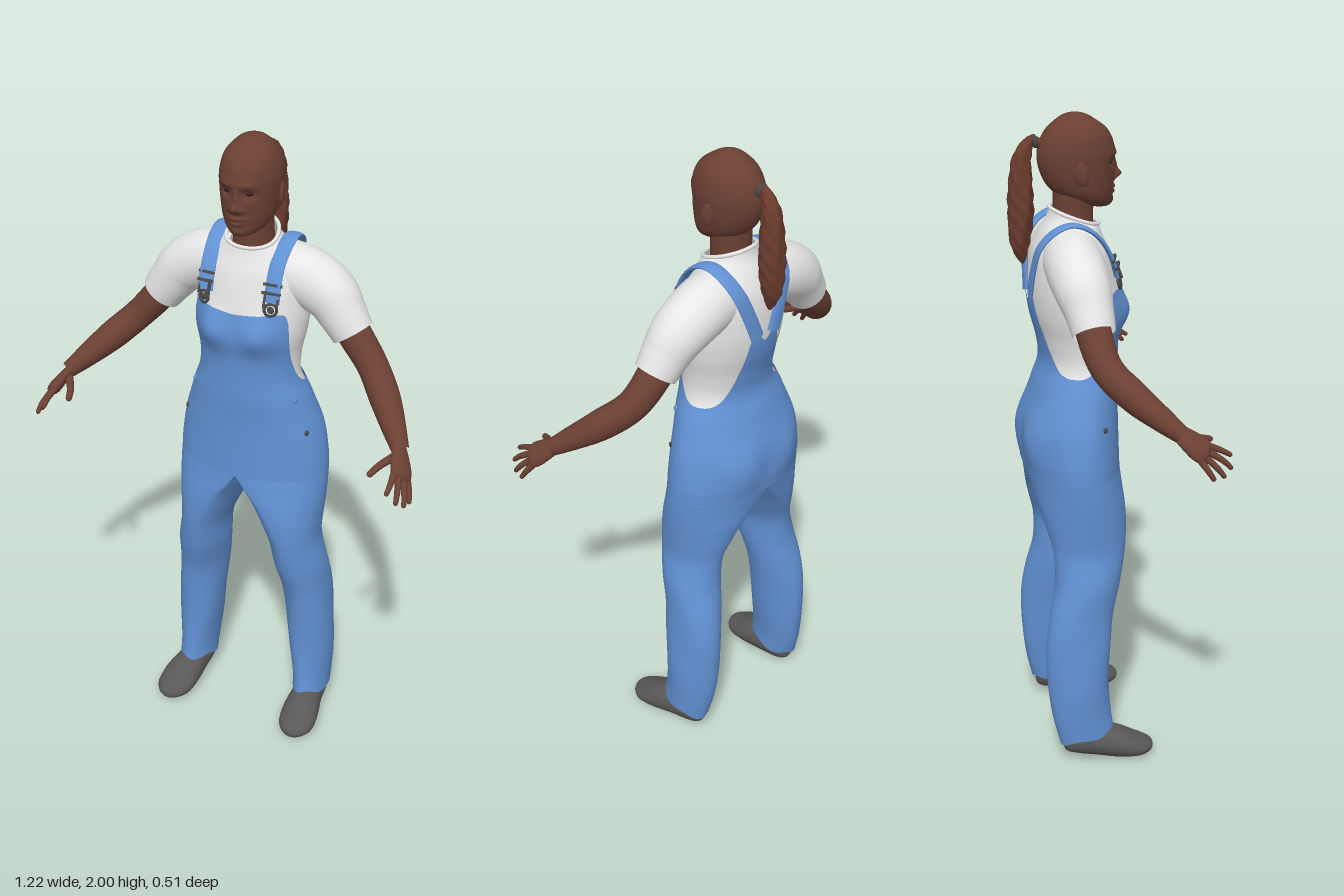
import * as THREE from 'three';

const mat = (name, color, double) => {
  const m = new THREE.MeshStandardMaterial({ color });
  m.name = name;
  if (double) m.side = THREE.DoubleSide;
  return m;
};
const V = (a) => new THREE.Vector3(...a);

// Smooth interpolation of rows [key, ...values], keys ascending
function interp(rows, k) {
  const n = rows.length;
  k = Math.min(Math.max(k, rows[0][0]), rows[n - 1][0]);
  let i = 0;
  while (i < n - 2 && k > rows[i + 1][0]) i++;
  const a = rows[i], b = rows[i + 1], h = b[0] - a[0], t = (k - a[0]) / h;
  const p = rows[Math.max(i - 1, 0)], q = rows[Math.min(i + 2, n - 1)];
  return a.slice(1).map((_, c) => {
    c++;
    const ma = (b[c] - p[c]) / (b[0] - p[0]) * h, mb = (q[c] - a[c]) / (q[0] - a[0]) * h;
    const t2 = t * t, t3 = t2 * t;
    return a[c] * (2 * t3 - 3 * t2 + 1) + ma * (t3 - 2 * t2 + t) + b[c] * (3 * t2 - 2 * t3) + mb * (t3 - t2);
  });
}

// Closed skin: fn(angle, v) gives [x, y, z]; side -1 mirrors it
function surface(nu, nv, fn, side = 1) {
  const pos = [], idx = [];
  for (let j = 0; j <= nv; j++) for (let i = 0; i < nu; i++) {
    const p = fn(i / nu * Math.PI * 2, j / nv);
    pos.push(p[0] * side, p[1], p[2]);
  }
  for (let j = 0; j < nv; j++) for (let i = 0; i < nu; i++) {
    const a = j * nu + i, b = j * nu + (i + 1) % nu, c = b + nu, d = a + nu;
    if (side > 0) idx.push(a, b, c, a, c, d); else idx.push(a, c, b, a, d, c);
  }
  const g = new THREE.BufferGeometry();
  g.setAttribute('position', new THREE.Float32BufferAttribute(pos, 3));
  g.setIndex(idx);
  g.computeVertexNormals();
  return g;
}

// Tapered tube along points [x, y, z, radius]; ref is its width direction
function taper(pts, ref, { side = 1, flat = 1, cap = 0, nu = 20, nv = 24, ripple = () => 1 } = {}) {
  const curve = new THREE.CatmullRomCurve3(pts.map((p) => V(p.slice(0, 3))));
  const rad = pts.map((p, i) => [i / (pts.length - 1), p[3]]);
  return surface(nu, nv, (a, v) => {
    const T = curve.getTangent(v), c = curve.getPoint(v);
    const A = V(ref).addScaledVector(T, -T.dot(V(ref))).normalize(), B = T.clone().cross(A);
    let r = interp(rad, v)[0] * ripple(a, v);
    if (cap && v > 1 - cap) r *= Math.sqrt(Math.max(0, 1 - ((v - 1 + cap) / cap) ** 2));
    return c.addScaledVector(A, r * Math.cos(a)).addScaledVector(B, r * flat * Math.sin(a)).toArray();
  }, side);
}

const bump = (x, y, [bx, by, sx, sy, amp]) => amp * Math.exp(-(((x - bx) / sx) ** 2) - ((y - by) / sy) ** 2);

// Torso sections: y, half width, front z, back z
const TORSO = [
  [0.94, 0.244, 0.064, -0.225], [1.0, 0.24, 0.062, -0.228], [1.1, 0.222, 0.06, -0.222], [1.2, 0.185, 0.06, -0.19],
  [1.27, 0.156, 0.056, -0.165], [1.34, 0.155, 0.058, -0.172], [1.42, 0.17, 0.07, -0.192], [1.5, 0.175, 0.06, -0.2],
  [1.6, 0.165, 0.035, -0.192], [1.66, 0.12, 0.012, -0.168], [1.7, 0.078, 0.002, -0.145], [1.735, 0.066, -0.005, -0.136],
];
function body(a, y, off = 0) {
  const [w, zf, zb] = interp(TORSO, y), s = Math.sin(a), c = Math.cos(a);
  const x = (w + off) * s, ax = Math.abs(x);
  let z = (zf + zb) / 2 + ((zf - zb) / 2 + off) * c;
  if (c > 0) z += c * bump(ax, y, [0.08, 1.43, 0.05, 0.055, 0.024]);
  else z += c * bump(ax, y, [0.1, 1.04, 0.07, 0.08, 0.018]);
  return [x, y, z];
}
const bodyAt = (x, y, front, off) => {
  const a = Math.asin(Math.min(1, x / interp(TORSO, y)[0]));
  return [x, y, body(front ? a : Math.PI - a, y)[2] + (front ? off : -off)];
};

// Upper edge of the overalls: angle from the front, y
const BIB = [[0, 1.495], [0.4, 1.5], [0.85, 1.5], [0.95, 1.475], [1.05, 1.4], [1.18, 1.34], [1.5, 1.268], [1.9, 1.25],
  [2.35, 1.265], [2.6, 1.32], [2.75, 1.4], [2.88, 1.49], [Math.PI, 1.46]];
// Trouser leg sections: y, centre x, outer and inner half width, front z, back z
const LEG = [
  [0.07, 0.21, 0.057, 0.055, 0.01, -0.168], [0.15, 0.208, 0.06, 0.058, -0.002, -0.187], [0.25, 0.203, 0.068, 0.067, -0.006, -0.197],
  [0.4, 0.193, 0.073, 0.073, 0, -0.2], [0.5, 0.182, 0.079, 0.077, 0.008, -0.188], [0.6, 0.168, 0.084, 0.08, 0.035, -0.167],
  [0.7, 0.15, 0.082, 0.073, 0.055, -0.167], [0.78, 0.12, 0.116, 0.075, 0.064, -0.187], [0.84, 0.085, 0.156, 0.065, 0.066, -0.202],
  [0.89, 0.04, 0.204, 0.038, 0.065, -0.213], [0.94, 0, 0.244, 0, 0.064, -0.225],
];
// Head sections: y, half width, front z, back z
const HEAD = [
  [1.725, 0.004, 0.025, 0.01], [1.73, 0.03, 0.041, -0.02], [1.745, 0.054, 0.047, -0.075], [1.77, 0.072, 0.049, -0.12],
  [1.8, 0.081, 0.052, -0.148], [1.85, 0.088, 0.055, -0.168], [1.9, 0.089, 0.055, -0.169], [1.95, 0.075, 0.034, -0.147],
  [1.985, 0.043, -0.012, -0.108], [1.996, 0.022, -0.036, -0.085], [2, 0.001, -0.058, -0.062],
];
// Face relief: x, y, spread x, spread y, depth
const FACE = [[0, 1.817, 0.013, 0.013, 0.021], [0, 1.84, 0.008, 0.025, 0.01], [0.017, 1.812, 0.009, 0.009, 0.007],
  [0.034, 1.858, 0.018, 0.013, -0.011], [0.03, 1.885, 0.025, 0.01, 0.005], [0, 1.784, 0.024, 0.006, 0.009],
  [0, 1.769, 0.02, 0.006, 0.009], [0, 1.745, 0.02, 0.012, 0.006]];
// Shoe sections: z, centre x, half width, bottom y, top y
const SHOE = [[-0.157, 0.21, 0.002, 0.06, 0.08], [-0.15, 0.21, 0.026, 0.038, 0.1], [-0.12, 0.21, 0.044, 0.025, 0.12],
  [-0.05, 0.214, 0.05, 0.01, 0.115], [0.02, 0.221, 0.06, 0, 0.1], [0.08, 0.226, 0.058, 0.002, 0.068],
  [0.115, 0.227, 0.038, 0.01, 0.052], [0.128, 0.227, 0.018, 0.018, 0.042], [0.132, 0.227, 0.001, 0.029, 0.031]];

export function createModel() {
  const root = new THREE.Group();
  root.name = 'womanInOveralls';
  const skin = mat('skin', 0x6b4033), hair = mat('hair', 0x6a3b2c), denim = mat('denim', 0x6292d4, true);
  const cotton = mat('cotton', 0xe6e6e6, true), leather = mat('shoeGrey', 0x5a5856);
  const metal = mat('metal', 0x4a4a4c), dark = mat('eyeDark', 0x2b1a15);
  const add = (name, geo, m, p, r) => {
    const o = new THREE.Mesh(geo, m);
    o.name = name;
    if (p) o.position.set(...p);
    if (r) o.rotation.set(...r);
    root.add(o);
    return o;
  };

  // Head and neck
  const face = (a, y) => {
    const [w, zf, zb] = interp(HEAD, y), x = w * Math.sin(a), c = Math.cos(a);
    let z = (zf + zb) / 2 + (zf - zb) / 2 * c;
    if (c > 0) for (const f of FACE) z += bump(Math.abs(x), y, f) * Math.min(1, c * 2);
    return [x, y, z];
  };
  add('head', surface(120, 90, (a, v) => face(a, 1.725 + 0.275 * (1 - Math.cos(Math.PI * v)) / 2)), skin);
  add('neck', taper([[0, 1.64, -0.075, 0.07], [0, 1.7, -0.068, 0.06], [0, 1.76, -0.066, 0.06], [0, 1.82, -0.065, 0.062]], [1, 0, 0]), skin);

  // Ponytail with its band
  add('ponytail', taper([[0, 1.91, -0.155, 0.014], [0, 1.925, -0.187, 0.014], [0, 1.88, -0.213, 0.026], [0, 1.79, -0.22, 0.035],
    [0, 1.71, -0.222, 0.037], [0, 1.63, -0.225, 0.028], [0, 1.565, -0.217, 0.006]], [1, 0, 0],
  { cap: 0.04, nu: 40, nv: 80, ripple: (a, v) => 1 + 0.1 * Math.min(1, v * 3) * Math.sin(5 * a + 24 * v) * Math.cos(34 * v) }), hair);
  add('hairBand', new THREE.TorusGeometry(0.014, 0.007, 10, 20), metal, [0, 1.922, -0.178], [-0.2, 0, 0]);

  // Shirt body and collar
  const collarY = (a) => 1.705 - 0.025 * Math.cos(a);
  add('shirtBody', surface(96, 50, (a, v) => body(a, 1.23 + (collarY(a) - 1.23) * v)), cotton);
  const ring = [];
  for (let i = 0; i < 32; i++) ring.push(V(body(i / 16 * Math.PI, collarY(i / 16 * Math.PI))));
  add('collar', new THREE.TubeGeometry(new THREE.CatmullRomCurve3(ring, true), 64, 0.006, 8, true), cotton);

  // Overalls body with bib and back panel
  const lift = (y) => 0.007 * THREE.MathUtils.smoothstep(y, 1.12, 1.28);
  add('overallsBody', surface(144, 60, (a, v) => {
    const y = 0.94 + (interp(BIB, a > Math.PI ? 2 * Math.PI - a : a)[0] - 0.94) * v;
    return body(a, y, lift(y));
  }), denim);

  for (const s of [1, -1]) {
    const side = s > 0 ? 'left' : 'right';
    const at = (p) => [p[0] * s, p[1], p[2]];

    // Trouser leg with soft folds and a hem that dips at the back
    add(side + 'TrouserLeg', surface(64, 80, (a, v) => {
      const hem = 0.088 + 0.018 * Math.cos(a) + 0.006 * Math.sin(4 * a);
      const y = hem + (0.94 - hem) * v, [cx, out, inn, zf, zb] = interp(LEG, y), sn = Math.sin(a);
      const k = 1 + 0.025 * Math.sin(3 * a + 14 * y) * (1 - THREE.MathUtils.smoothstep(y, 0.5, 0.75));
      return [cx + sn * (sn > 0 ? out : inn) * k, y, (zf + zb) / 2 + (zf - zb) / 2 * Math.cos(a) * k];
    }, s), denim);

    // Shoe
    add(side + 'Shoe', surface(32, 48, (a, v) => {
      const z = -0.157 + 0.289 * (1 - Math.cos(Math.PI * v)) / 2, [cx, w, b, t] = interp(SHOE, z);
      return [cx + w * Math.cos(a), (b + t) / 2 + (t - b) / 2 * Math.sin(a), z];
    }, s), leather);

    // Sleeve and arm
    add(side + 'Sleeve', taper([[0.05, 1.6, -0.088, 0.085], [0.16, 1.578, -0.095, 0.086], [0.235, 1.538, -0.092, 0.08],
      [0.275, 1.49, -0.085, 0.07], [0.312, 1.438, -0.08, 0.062]], [0, 0, 1], { side: s, nu: 32, flat: 1.03 }), cotton);
    add(side + 'Arm', taper([[0.25, 1.525, -0.085, 0.052], [0.32, 1.43, -0.08, 0.05], [0.385, 1.355, -0.06, 0.046],
      [0.45, 1.292, 0, 0.045], [0.51, 1.236, 0.07, 0.034], [0.545, 1.204, 0.112, 0.025]], [0, 0, 1], { side: s, nv: 40 }), skin);

    // Hand: palm, four fingers and thumb
    add(side + 'Palm', taper([[0.535, 1.214, 0.1, 0.025], [0.552, 1.188, 0.132, 0.034], [0.566, 1.165, 0.16, 0.038], [0.573, 1.153, 0.182, 0.03]],
      [0.58, -0.64, -0.5], { side: s, flat: 0.5, cap: 0.2 }), skin);
    [[[0.552, 1.176, 0.172], [0.557, 1.156, 0.22], [0.556, 1.137, 0.252]], [[0.565, 1.163, 0.174], [0.579, 1.133, 0.22], [0.584, 1.108, 0.245]],
      [[0.576, 1.151, 0.166], [0.594, 1.117, 0.2], [0.6, 1.09, 0.22]], [[0.583, 1.143, 0.152], [0.599, 1.11, 0.174], [0.605, 1.086, 0.188]],
      [[0.537, 1.195, 0.125], [0.504, 1.177, 0.172], [0.487, 1.163, 0.216]]].forEach((f, i) => {
      const r = i === 4 ? 0.013 : 0.0105;
      add(side + (i === 4 ? 'Thumb' : 'Finger' + (i + 1)),
        taper(f.map((p, j) => [...p, r - j * 0.002]), [1, -0.3, 0], { side: s, cap: 0.12, nu: 12, nv: 20 }), skin);
    });

    // Ear and eye
    add(side + 'Ear', new THREE.SphereGeometry(1, 18, 14), skin, [s * 0.088, 1.838, -0.062], [-0.15, s * 0.35, 0]).scale.set(0.009, 0.036, 0.021);
    const eyeZ = face(Math.asin(0.033 / interp(HEAD, 1.858)[0]), 1.858)[2];
    add(side + 'Eye', new THREE.SphereGeometry(1, 16, 10), dark, [s * 0.033, 1.858, eyeZ], [0, s * 0.3, 0]).scale.set(0.013, 0.0045, 0.004);

    // Strap over the shoulder
    const strap = [bodyAt(0.106, 1.54, true, 0.012), bodyAt(0.105, 1.59, true, 0.012), [0.105, 1.645, -0.005], [0.108, 1.685, -0.05],
      [0.108, 1.698, -0.098], [0.102, 1.677, -0.148], [0.088, 1.63, -0.186], bodyAt(0.062, 1.56, false, 0.01), bodyAt(0.032, 1.48, false, 0.007)];
    add(side + 'Strap', taper(strap.map((p) => [...p, 0.024]), [1, 0, 0], { side: s, flat: 0.28, nv: 60 }), denim);

    // Buckle: slider, hook loop and button
    const up = bodyAt(0.105, 1.582, true, 0.02), mid = bodyAt(0.106, 1.545, true, 0.016), low = bodyAt(0.106, 1.522, true, 0.016);
    for (const dy of [-0.011, 0.011])
      add(side + 'BuckleBar', new THREE.BoxGeometry(0.056, 0.008, 0.009), metal, at([up[0], up[1] + dy, up[2] - dy * 0.5]), [-0.4, s * 0.35, 0]);
    for (const dx of [-0.018, 0.018])
      add(side + 'BuckleSide', new THREE.BoxGeometry(0.007, 0.05, 0.007), metal, at([mid[0] + dx, mid[1] + 0.008, mid[2] - dx * 0.4 + 0.002]), [-0.35, s * 0.35, 0]);
    add(side + 'BuckleLoop', new THREE.TorusGeometry(0.018, 0.0045, 8, 20), metal, at(low), [-0.2, s * 0.4, 0]);
    add(side + 'BuckleButton', new THREE.SphereGeometry(0.011, 14, 10), metal, at(low)).scale.z = 0.6;

    // Hip buttons
    for (const y of [1.1, 1.21]) {
      const p = body(1.12, y, lift(y));
      add(side + 'HipButton', new THREE.SphereGeometry(0.009, 12, 8), y > 1.2 ? denim : metal, at(p)).scale.x = 0.7;
    }
  }
  return root;
}
